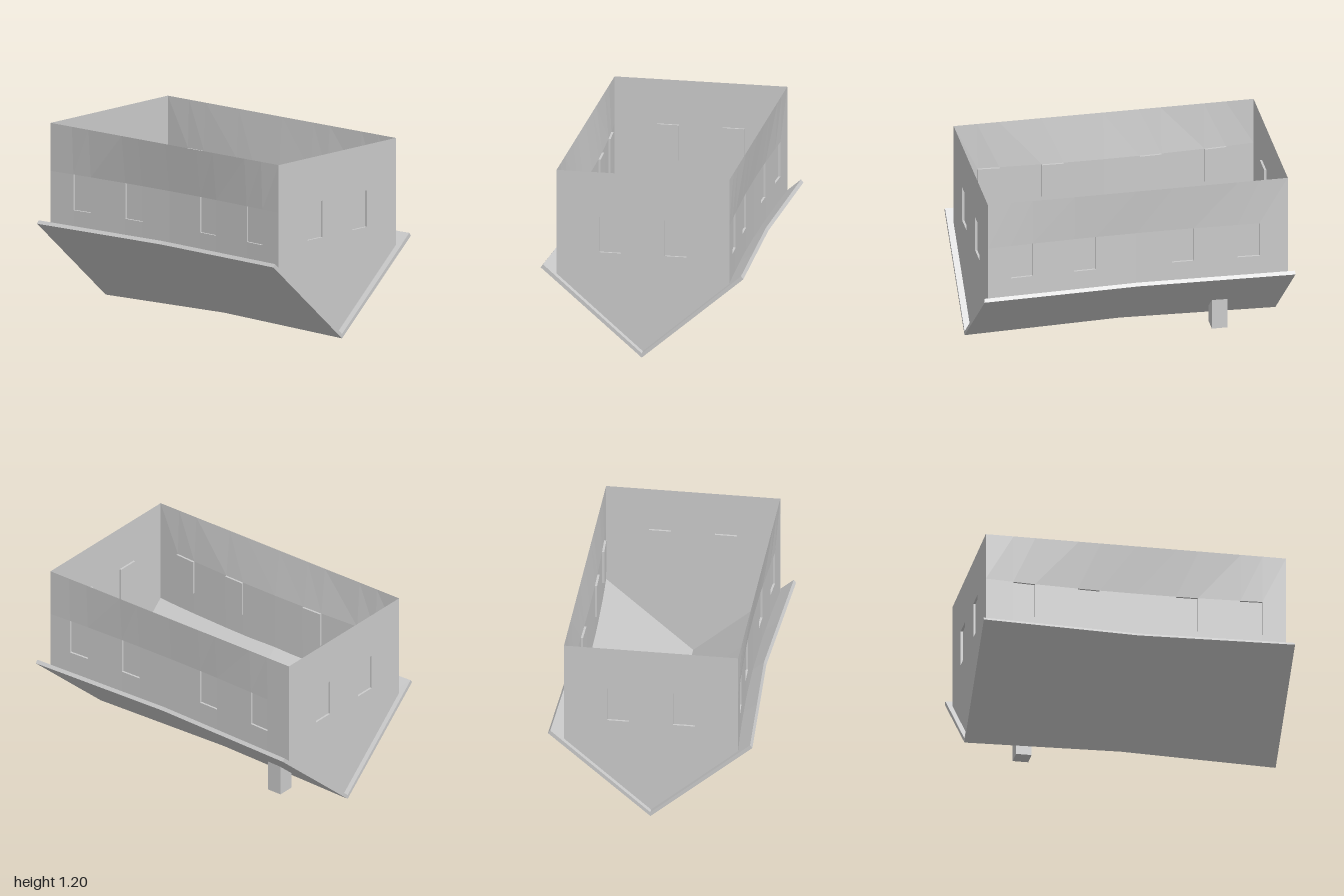
import * as THREE from 'three';

const mat = new THREE.MeshStandardMaterial({ color: 0xcccccc, flatShading: true, side: THREE.DoubleSide });

// Four-cornered faces [a, b, c, d], counter-clockwise from the front
function quads(list) {
  const pos = [];
  for (const [a, b, c, d] of list) pos.push(...a, ...b, ...c, ...a, ...c, ...d);
  const g = new THREE.BufferGeometry();
  g.setAttribute('position', new THREE.Float32BufferAttribute(pos, 3));
  g.computeVertexNormals();
  return g;
}

// Jambs and pane set back from an opening by the vector d
function recess(c, d) {
  const inner = c.map(p => p.map((v, i) => v + d[i]));
  const faces = c.map((p, i) => [p, c[(i + 1) % 4], inner[(i + 1) % 4], inner[i]]);
  faces.push(inner);
  return faces;
}

function add(parent, name, geometry) {
  const mesh = new THREE.Mesh(geometry, mat);
  mesh.name = name;
  parent.add(mesh);
  return mesh;
}

const XL = -0.97, XR = 0.96, ZW = 0.555, TOP = 1.2, DEPTH = 0.014;
const longWindows = [-0.72, -0.3, 0.33, 0.74];

// Long wall: straight along the open rim, sagging inward lower down
function longWall(group, name, s, sag) {
  const [y0, y1] = [0.66, 0.89];
  const point = (x, y) => {
    const low = Math.min(1, Math.max(0, (TOP - y) / (TOP - y1)));
    return [x, y, s * (ZW - sag * low * (1 - (x / 0.97) ** 2))];
  };
  const xs = [XL, ...longWindows.flatMap(x => [x - 0.07, x + 0.07]), 0, XR].sort((a, b) => a - b);
  const ys = [0.51, y0, y1, TOP];
  const wall = [], panes = [];
  for (let i = 0; i < xs.length - 1; i++) {
    const mid = (xs[i] + xs[i + 1]) / 2;
    const isWindow = longWindows.some(x => Math.abs(x - mid) < 0.01);
    for (let j = 0; j < 3; j++) {
      const c = [point(xs[i], ys[j]), point(xs[i + 1], ys[j]), point(xs[i + 1], ys[j + 1]), point(xs[i], ys[j + 1])];
      if (s < 0) c.reverse();
      if (isWindow && j === 1) panes.push(...recess(c, [0, 0, -s * DEPTH]));
      else wall.push(c);
    }
  }
  add(group, name, quads(wall));
  add(group, name + 'Windows', quads(panes));
}

// Pointed end wall with two openings
function gableWall(group, name, x, s) {
  const shape = new THREE.Shape([[-ZW, TOP], [-ZW, 0.51], [0, 0.03], [ZW, 0.51], [ZW, TOP]]
    .map(p => new THREE.Vector2(...p)));
  const panes = [];
  for (const z of [-0.21, 0.21]) {
    const c = [[z - 0.07, 0.67], [z + 0.07, 0.67], [z + 0.07, 0.905], [z - 0.07, 0.905]];
    shape.holes.push(new THREE.Path(c.map(p => new THREE.Vector2(...p))));
    const corners = c.map(([u, y]) => [x, y, -s * u]);
    panes.push(...recess(corners, [-s * DEPTH, 0, 0]));
  }
  const g = new THREE.ShapeGeometry(shape);
  g.rotateY(s * Math.PI / 2);
  g.translate(x, 0, 0);
  add(group, name, g);
  add(group, name + 'Windows', quads(panes));
}

// V-shaped roof slab lofted along x, pinched at the middle
function roofGeometry() {
  const stations = [-1, -0.5, 0, 0.5, 1].map(x => {
    const k = 1 - Math.abs(x);
    const f = 0.05 * k, b = 0.032 * k, r = 0.025 * k;
    return [[0, r], [0.65 - f, 0.56], [0.635 - f, 0.58], [0, 0.028 + r], [b - 0.638, 0.58], [b - 0.653, 0.56]]
      .map(([z, y]) => [x, y, z]);
  });
  const faces = [];
  for (let i = 0; i < stations.length - 1; i++) {
    const a = stations[i], b = stations[i + 1];
    for (let j = 0; j < 6; j++) {
      const k = (j + 1) % 6;
      faces.push([a[j], b[j], b[k], a[k]]);
    }
  }
  // End caps, one quad per slope
  const [p, q] = [stations[0], stations[4]];
  faces.push([p[0], p[1], p[2], p[3]], [p[0], p[3], p[4], p[5]]);
  faces.push([q[3], q[2], q[1], q[0]], [q[5], q[4], q[3], q[0]]);
  return quads(faces);
}

export function createModel() {
  const house = new THREE.Group();
  house.name = 'upturnedHouse';

  add(house, 'roof', roofGeometry());
  longWall(house, 'frontWall', 1, 0.042);
  longWall(house, 'backWall', -1, 0.028);
  gableWall(house, 'leftGable', XR, 1);
  gableWall(house, 'rightGable', XL, -1);

  // Chimney: hangs below the back slope, its upper end cut to the roof pitch
  const chimney = new THREE.BoxGeometry(0.1, 0.1, 0.11);
  const pos = chimney.attributes.position;
  for (let i = 0; i < pos.count; i++) {
    const z = pos.getZ(i) - 0.18;
    pos.setXYZ(i, pos.getX(i) - 0.595, pos.getY(i) < 0 ? 0.01 : 0.02 - 0.86 * z, z);
  }
  chimney.computeVertexNormals();
  add(house, 'chimney', chimney);
  return house;
}
